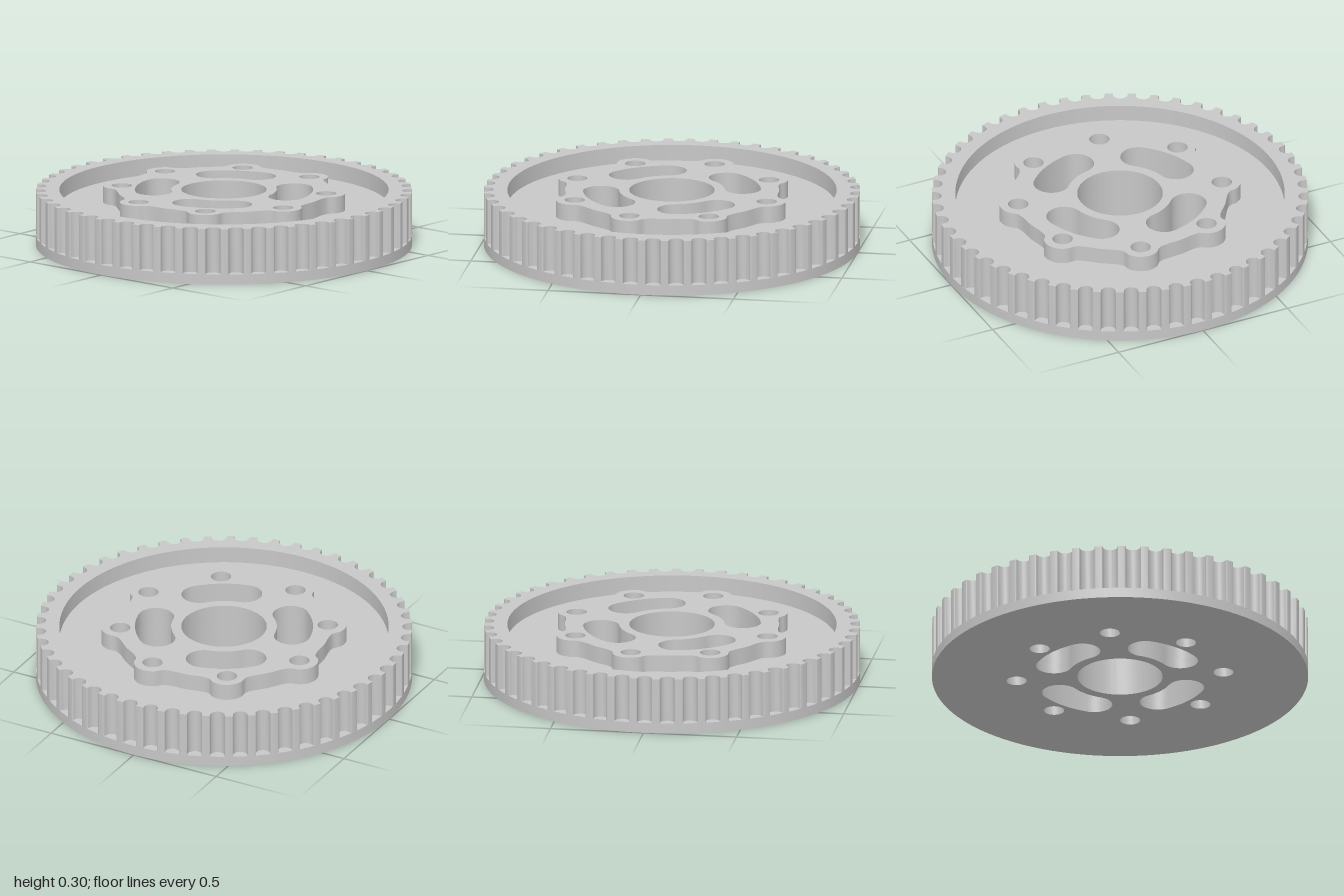
import * as THREE from 'three';
import { toCreasedNormals } from 'three/addons/utils/BufferGeometryUtils.js';

const TEETH = 51, LOBES = 8;
const FLANGE_TOP = 0.055, FLOOR = 0.21, TOP = 0.3, RIM = 0.875;
const rad = THREE.MathUtils.degToRad;
const boltAngle = i => rad(14.7 + i * 360 / LOBES);

// Point at radius r, angle a measured from the back (-z) towards +x
const polar = (r, a) => new THREE.Vector2(r * Math.sin(a), r * Math.cos(a));

// Arc of radius r about the point c, from angle a0 to a1
function arc(c, r, a0, a1, n) {
  return Array.from({ length: n + 1 }, (_, i) => polar(r, a0 + (a1 - a0) * i / n).add(c));
}
const circle = (r, c = new THREE.Vector2(), n = 144) => arc(c, r, 0, Math.PI * 2, n).slice(0, -1);

// Kidney slot following an arc around the axle
function kidney(mid) {
  const R = 0.377, w = 0.096, h = rad(18.3), o = new THREE.Vector2();
  return [
    ...arc(o, R + w, mid - h, mid + h, 16),
    ...arc(polar(R, mid + h), w, mid + h, mid + h + Math.PI, 20).slice(1),
    ...arc(o, R - w, mid + h, mid - h, 16).slice(1),
    ...arc(polar(R, mid - h), w, mid - h + Math.PI, mid - h + Math.PI * 2, 20).slice(1, -1),
  ];
}

// Rounded lobes around the bolt holes, joined by shallow valleys
function hubOutline() {
  const pts = [];
  for (let i = 0; i < LOBES; i++) {
    const a = boltAngle(i), c = polar(0.552, a);
    for (const f of [-75, -50, -25, 0, 25, 50, 75]) pts.push(polar(0.1, a + rad(f)).add(c));
    pts.push(polar(0.571, a + rad(13.5)), polar(0.57, a + rad(22.5)), polar(0.571, a + rad(31.5)));
  }
  const curve = new THREE.CatmullRomCurve3(pts.map(p => new THREE.Vector3(p.x, p.y, 0)), true);
  return curve.getPoints(320).slice(0, -1).map(p => new THREE.Vector2(p.x, p.y));
}

// Outer ring outline: round-bottomed grooves with softened tooth corners
function toothOutline() {
  const pitch = Math.PI * 2 / TEETH, w = 0.039, f = 0.006, pts = [];
  for (let i = 0; i < TEETH; i++) {
    const a = (i + 0.22) * pitch;
    pts.push(...arc(polar(1 - f, a - w - f), f, a, a + Math.PI / 2, 4));
    pts.push(...arc(polar(0.987, a), w, a - Math.PI / 2, a - Math.PI * 1.5, 12));
    pts.push(...arc(polar(1 - f, a + w + f), f, a - Math.PI / 2, a, 4));
  }
  return pts;
}

export function createModel() {
  const group = new THREE.Group();
  const metal = new THREE.MeshStandardMaterial({ color: 0xc7c7c7 });
  metal.name = 'grey metal';

  // Outlines run clockwise, so reverse them: walls of body and holes then face outwards
  function addLayer(name, outline, holes, y0, y1) {
    const shape = new THREE.Shape(outline.reverse());
    shape.holes = holes.map(h => new THREE.Path(h));
    const geo = new THREE.ExtrudeGeometry(shape, { depth: y1 - y0, bevelEnabled: false });
    geo.rotateX(-Math.PI / 2).translate(0, y0, 0);
    const mesh = new THREE.Mesh(toCreasedNormals(geo, 0.6), metal);
    mesh.name = name;
    group.add(mesh);
  }

  // Axle bore, four kidney slots and eight bolt holes run right through
  const holes = [circle(0.227)];
  for (let i = 0; i < 4; i++) holes.push(kidney(rad(-30.5 + i * 90)));
  for (let i = 0; i < LOBES; i++) holes.push(circle(0.054, polar(0.552, boltAngle(i)), 32));

  addLayer('flange', circle(1), holes, 0, FLANGE_TOP);
  addLayer('web', circle(RIM), holes, FLANGE_TOP, FLOOR);
  addLayer('hub', hubOutline(), holes, FLOOR, TOP);
  addLayer('toothedRing', toothOutline(), [circle(RIM)], FLANGE_TOP, TOP);
  return group;
}
